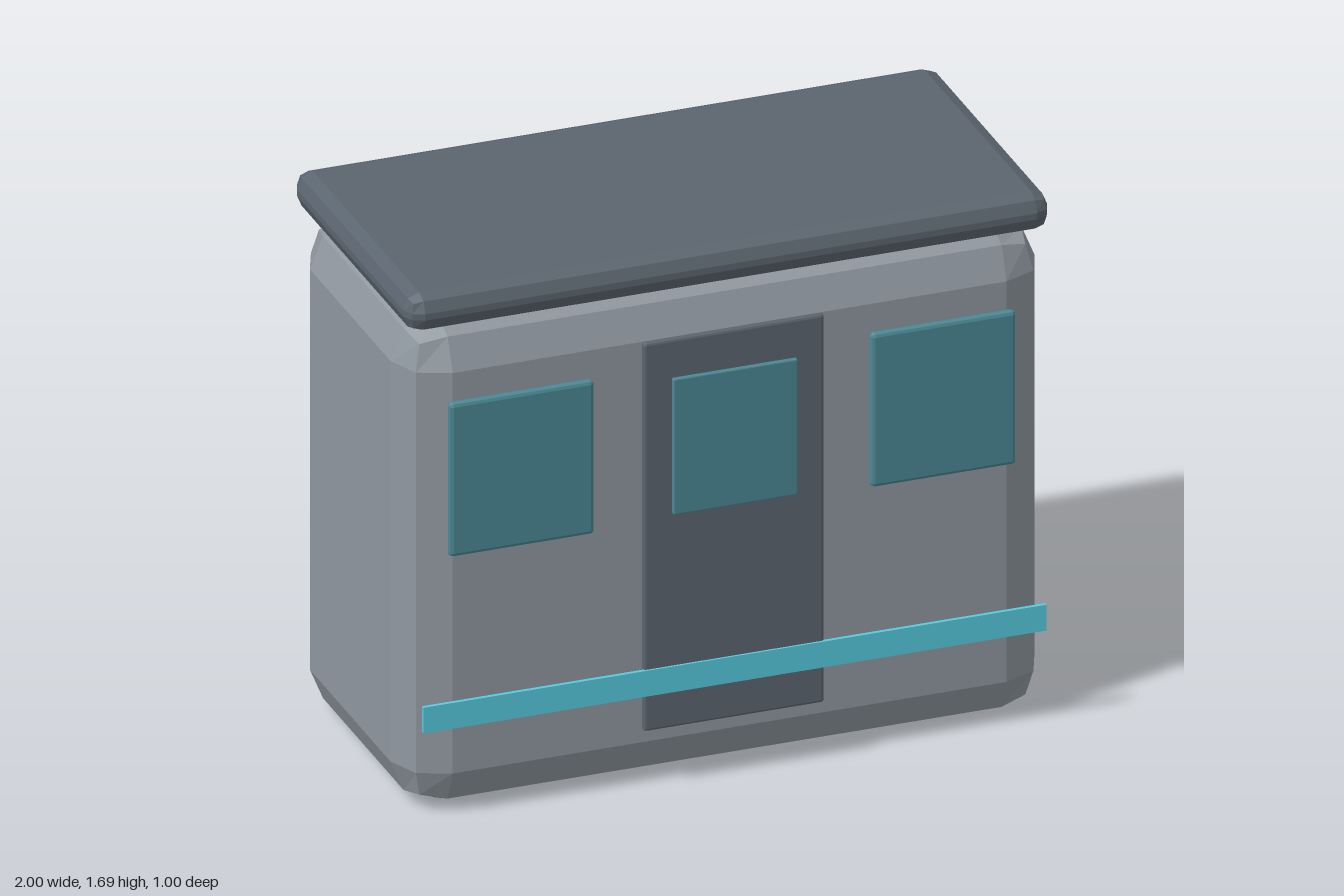
import * as THREE from 'three';
import { RoundedBoxGeometry } from 'three/addons/geometries/RoundedBoxGeometry.js';

const paint = (color) => new THREE.MeshStandardMaterial({ color, flatShading: true });

export function createModel() {
  const model = new THREE.Group();
  const grey = paint(0x8f979f);
  const dark = paint(0x5b656f);
  const glass = paint(0x4b8894);
  const accent = paint(0x56cbe0);

  // Box between two corners; a radius gives it chamfered edges
  function addBox(name, material, [x0, x1], [y0, y1], [z0, z1], radius = 0) {
    const size = [x1 - x0, y1 - y0, z1 - z0];
    const geometry = radius
      ? new RoundedBoxGeometry(...size, 1, radius)
      : new THREE.BoxGeometry(...size);
    const mesh = new THREE.Mesh(geometry, material);
    mesh.name = name;
    mesh.position.set((x0 + x1) / 2, (y0 + y1) / 2, (z0 + z1) / 2);
    model.add(mesh);
  }

  // Cabin shell and overhanging roof slab
  addBox('cabinBody', grey, [-1, 1], [0, 1.57], [-0.485, 0.452], 0.14);
  addBox('roof', dark, [-1, 1], [1.57, 1.69], [-0.5, 0.465], 0.05);

  // Door with its window
  addBox('door', dark, [-0.28, 0.28], [0.19, 1.44], [0.466, 0.489], 0.008);
  addBox('doorWindow', glass, [-0.193, 0.193], [0.88, 1.317], [0.483, 0.503], 0.004);

  // Side windows
  addBox('leftWindow', glass, [0.43, 0.88], [0.85, 1.345], [0.453, 0.482], 0.012);
  addBox('rightWindow', glass, [-0.88, -0.43], [0.85, 1.345], [0.453, 0.482], 0.012);

  // Bright stripe across the front
  addBox('stripe', accent, [-0.967, 0.967], [0.307, 0.39], [0.484, 0.496]);

  return model;
}
